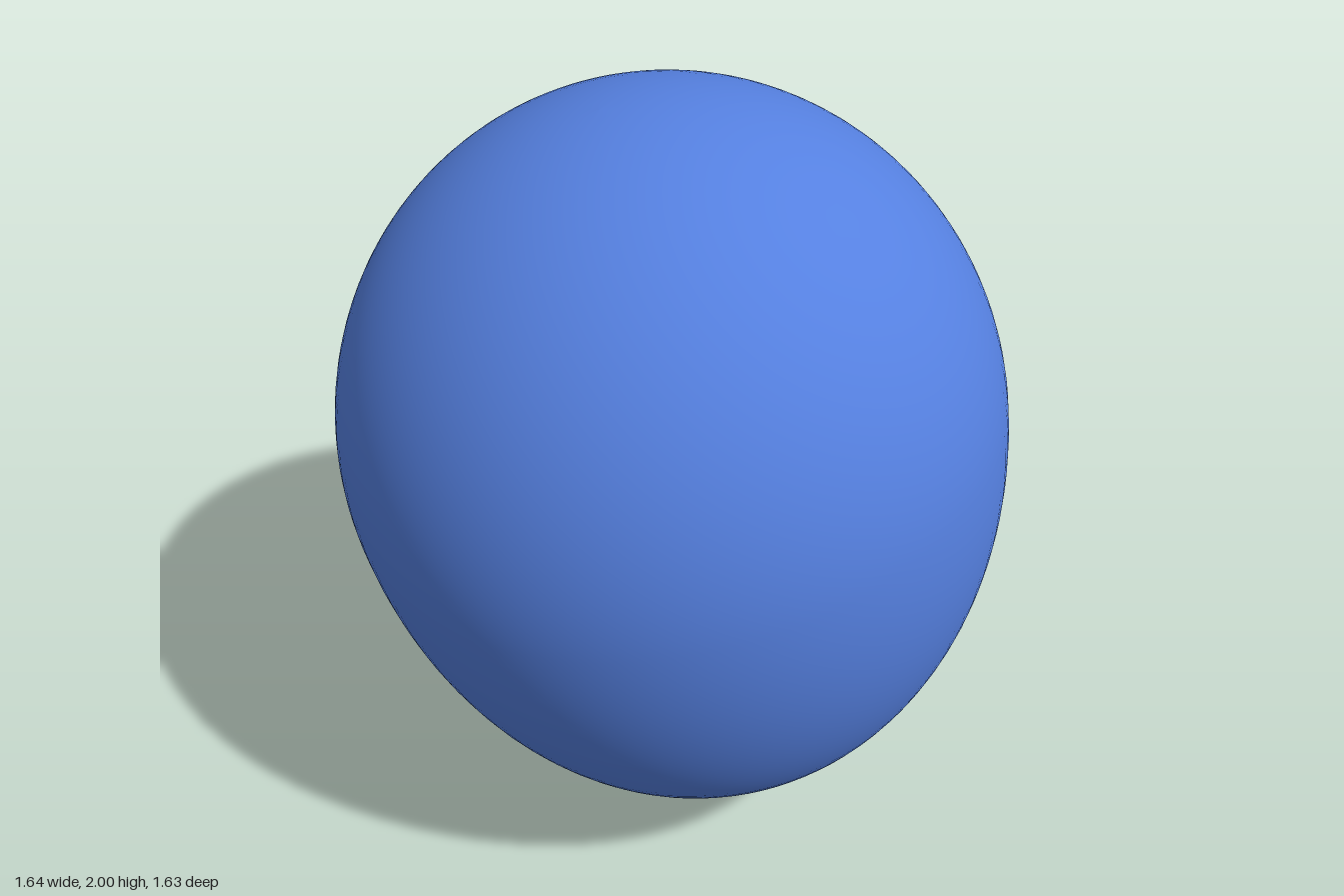
import * as THREE from 'three';

const RADIUS = 0.813, CROWN = 0.846, TAIL = 1.066;
const TILT = THREE.MathUtils.degToRad(11);

// Egg profile: a short half-ellipse above the widest ring, a longer one below
function balloonBody(material) {
  const points = [];
  const steps = 64;
  for (let i = 0; i <= steps; i++) {
    const a = -Math.PI / 2 + (Math.PI * i) / steps;
    const r = i === 0 || i === steps ? 0 : RADIUS * Math.cos(a);
    points.push(new THREE.Vector2(r, Math.sin(a) * (a < 0 ? TAIL : CROWN)));
  }
  const mesh = new THREE.Mesh(new THREE.LatheGeometry(points, 96), material);
  mesh.name = 'balloonBody';
  return mesh;
}

// Small flared skirt under the body, pleated more and more towards the rim
function knot(material) {
  const pleats = 7;
  const profile = [
    [0, -0.055], [0.013, -0.06], [0.037, -0.098], [0.041, -0.094],
    [0.034, -0.06], [0.022, -0.025], [0.010, 0], [0.008, 0.015],
  ].map(([x, y]) => new THREE.Vector2(x, y));
  const geometry = new THREE.LatheGeometry(profile, pleats * 4);
  const p = geometry.attributes.position;
  for (let i = 0; i < p.count; i++) {
    const x = p.getX(i), y = p.getY(i), z = p.getZ(i);
    const flare = Math.hypot(x, z) / 0.041;
    const wave = Math.cos(pleats * Math.atan2(z, x));
    const s = 1 + 0.14 * flare * wave;
    p.setXYZ(i, x * s, y + 0.004 * flare * wave, z * s);
  }
  geometry.computeVertexNormals();
  const mesh = new THREE.Mesh(geometry, material);
  mesh.name = 'knot';
  mesh.position.y = -TAIL;
  return mesh;
}

export function createModel() {
  const color = 0x5580e0;
  const smooth = new THREE.MeshStandardMaterial({ color });
  const pleated = new THREE.MeshStandardMaterial({ color, flatShading: true, side: THREE.DoubleSide });

  // The whole balloon leans, with its knot towards +x
  const balloon = new THREE.Group();
  balloon.name = 'balloon';
  balloon.add(balloonBody(smooth), knot(pleated));
  balloon.rotation.z = TILT;
  balloon.position.set(-0.004, 1.155, 0);

  const model = new THREE.Group();
  model.add(balloon);
  return model;
}
